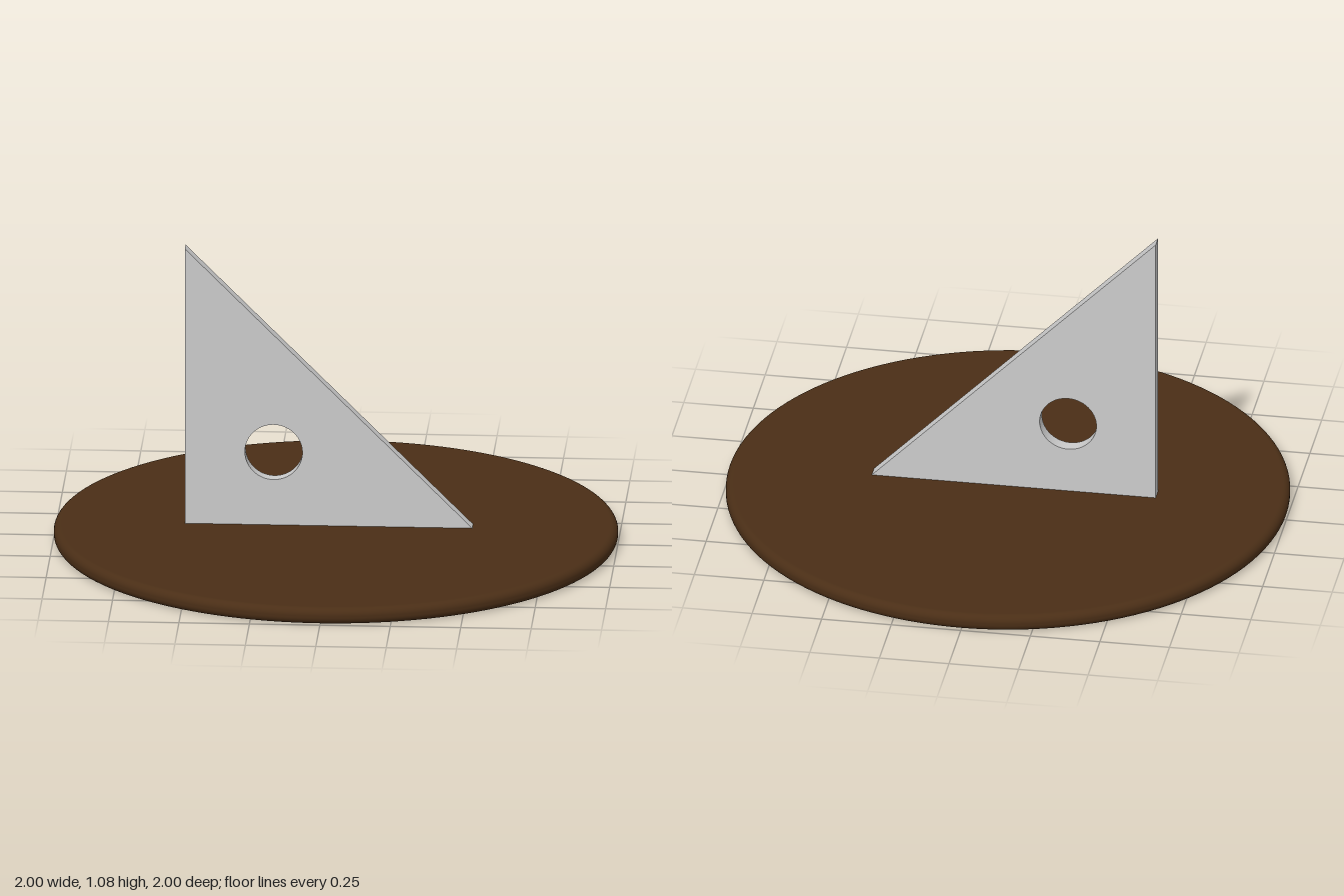
import * as THREE from 'three';

const DISC_RADIUS = 1;
const DISC_HEIGHT = 0.06;
const EDGE_RADIUS = 0.027;
const PLATE_THICKNESS = 0.05;

// Round base with a softly rounded rim, turned from a half profile
function createBase() {
  const profile = new THREE.Path();
  const inner = DISC_RADIUS - EDGE_RADIUS;
  profile.moveTo(0, 0);
  profile.lineTo(inner - 0.01, 0);
  profile.lineTo(inner, 0);
  profile.absarc(inner, EDGE_RADIUS, EDGE_RADIUS, -Math.PI / 2, 0, false);
  profile.absarc(inner, DISC_HEIGHT - EDGE_RADIUS, EDGE_RADIUS, 0, Math.PI / 2, false);
  profile.lineTo(inner - 0.01, DISC_HEIGHT);
  profile.lineTo(0, DISC_HEIGHT);

  const base = new THREE.Mesh(
    new THREE.LatheGeometry(profile.getPoints(8), 128),
    new THREE.MeshStandardMaterial({ color: 0x4a2e16 })
  );
  base.name = 'base';
  return base;
}

// Upright right-triangle plate with a round hole
function createPlate() {
  const shape = new THREE.Shape();
  shape.moveTo(-0.535, DISC_HEIGHT);
  shape.lineTo(0.485, DISC_HEIGHT);
  shape.lineTo(-0.535, 1.08);
  shape.closePath();

  const hole = new THREE.Path();
  hole.absarc(-0.22, 0.33, 0.102, 0, Math.PI * 2, true);
  shape.holes.push(hole);

  const geometry = new THREE.ExtrudeGeometry(shape, {
    depth: PLATE_THICKNESS,
    bevelEnabled: false,
    curveSegments: 64,
  });
  geometry.translate(0, 0, -PLATE_THICKNESS / 2);

  const plate = new THREE.Mesh(geometry, new THREE.MeshStandardMaterial({ color: 0xcccccc }));
  plate.name = 'trianglePlate';
  return plate;
}

export function createModel() {
  const model = new THREE.Group();
  model.name = 'sundial';
  model.add(createBase(), createPlate());
  return model;
}
